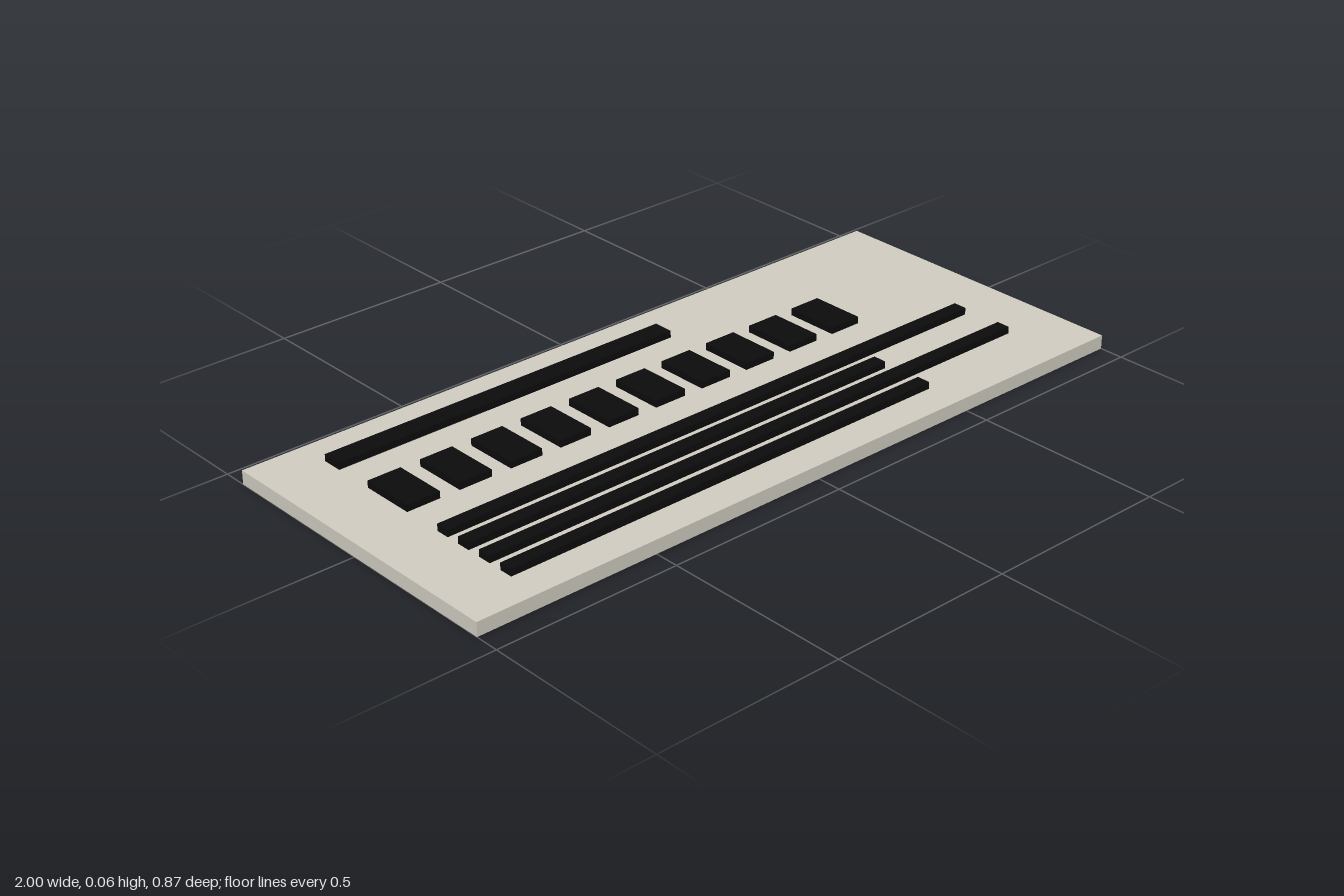
import * as THREE from 'three';

// Everything sits on a grid of 108 units along the plate's length
const U = 1 / 54;

export function createModel() {
  const model = new THREE.Group();
  model.name = 'reliefPlate';

  const stone = new THREE.MeshStandardMaterial({ name: 'warm grey', color: 0xd2cec3 });
  const ink = new THREE.MeshStandardMaterial({ name: 'black', color: 0x0c0c0c });

  // Box given by its x, y and z ranges in grid units
  function addBox(name, material, [x0, x1], [y0, y1], [z0, z1]) {
    const geometry = new THREE.BoxGeometry((x1 - x0) * U, (y1 - y0) * U, (z1 - z0) * U);
    const mesh = new THREE.Mesh(geometry, material);
    mesh.name = name;
    mesh.position.set((x0 + x1) / 2 * U, (y0 + y1) / 2 * U, (z0 + z1) / 2 * U);
    model.add(mesh);
  }

  const left = -45;
  const raised = [2, 3];

  // Base slab
  addBox('basePlate', stone, [-54, 54], [0, 2], [-23.5, 23.5]);

  // Heading bar at the back
  addBox('headingBar', ink, [left, 10], raised, [-18.5, -15.5]);

  // Row of ten raised blocks
  for (let i = 0; i < 10; i++) {
    const x = left + i * 8;
    addBox(`block${i + 1}`, ink, [x, x + 5], raised, [-9.5, -1.5]);
  }

  // Four line bars, alternately long and short
  for (let i = 0; i < 4; i++) {
    const z = 4.5 + i * 4;
    addBox(`lineBar${i + 1}`, ink, [left, i % 2 ? 25 : 45], raised, [z, z + 2]);
  }

  return model;
}
